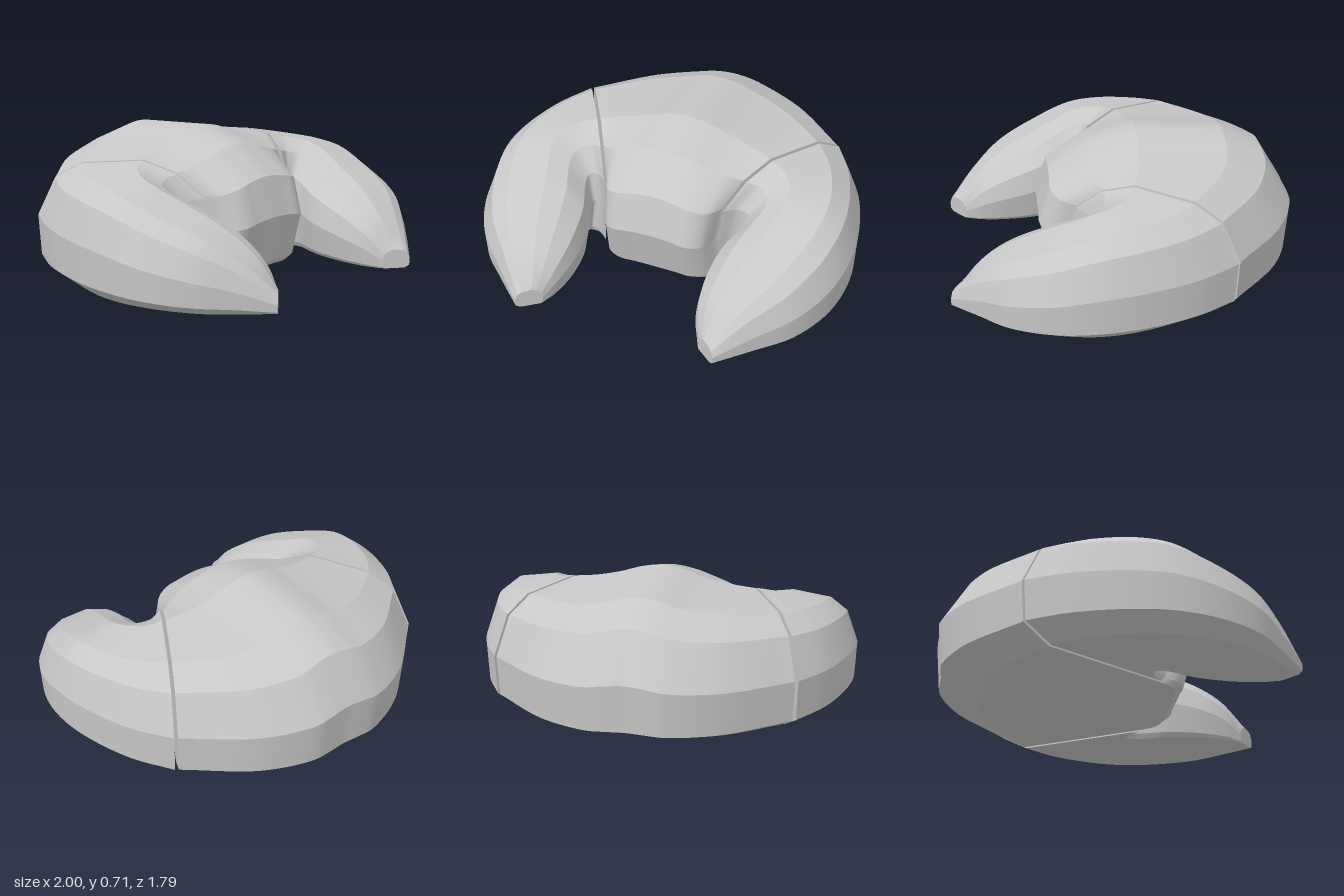
import * as THREE from 'three';

// Cross-section, outer foot over the top to inner foot: [across 0..1, height 0..1]
const PROFILE = [
  [0.18, 0], [0.015, 0.14], [0, 0.49], [0.105, 0.825], [0.26, 0.955], [0.61, 1],
  [0.80, 0.90], [0.955, 0.70], [1, 0.41], [0.95, 0.05], [0.92, 0],
];

// Stations: [outer x, outer z, inner x, inner z, height]
const BODY_HALF = [
  [0, -0.895, 0, 0.42, 0.71],
  [0.10, -0.90, 0.11, 0.42, 0.695],
  [0.20, -0.895, 0.20, 0.42, 0.665],
  [0.45, -0.79, 0.265, 0.375, 0.63],
  [0.765, -0.525, 0.30, 0.265, 0.602],
];
const ARM = [
  [0.78, -0.515, 0.315, 0.274, 0.60],
  [0.90, -0.30, 0.37, 0.205, 0.58],
  [0.98, -0.03, 0.42, 0.185, 0.56],
  [1.0, 0.18, 0.425, 0.22, 0.53],
  [0.965, 0.40, 0.365, 0.38, 0.45],
  [0.86, 0.605, 0.35, 0.56, 0.36],
  [0.70, 0.755, 0.375, 0.70, 0.25],
  [0.54, 0.89, 0.425, 0.80, 0.10],
];

const mirror = (stations) =>
  stations.map(([ox, oz, ix, iz, h]) => [-ox, oz, -ix, iz, h]).reverse();

// Sweep the profile through the stations: smooth lengthwise, creased between bands
function loft(stations, steps) {
  const outer = new THREE.CatmullRomCurve3(stations.map((s) => new THREE.Vector3(s[0], s[4], s[1])));
  const inner = new THREE.CatmullRomCurve3(stations.map((s) => new THREE.Vector3(s[2], s[4], s[3])));
  const sections = [];
  for (let i = 0; i <= steps; i++) {
    const o = outer.getPoint(i / steps);
    const n = inner.getPoint(i / steps);
    sections.push(PROFILE.map(([u, v]) => {
      const p = o.clone().lerp(n, u);
      p.y *= v;
      return p;
    }));
  }
  const positions = [];
  const index = [];
  const add = (p) => positions.push(p.x, p.y, p.z) / 3 - 1;

  // Lengthwise bands, the last one being the underside
  const count = PROFILE.length;
  for (let r = 0; r < count; r++) {
    const base = positions.length / 3;
    for (const section of sections) {
      add(section[r]);
      add(section[(r + 1) % count]);
    }
    for (let i = 0; i < steps; i++) {
      const a = base + i * 2;
      index.push(a, a + 1, a + 2, a + 1, a + 3, a + 2);
    }
  }

  // Flat end caps
  for (const end of [0, steps]) {
    const base = positions.length / 3;
    sections[end].forEach(add);
    for (let r = 1; r < count - 1; r++) {
      if (end) index.push(base, base + r, base + r + 1);
      else index.push(base, base + r + 1, base + r);
    }
  }

  const geometry = new THREE.BufferGeometry();
  geometry.setAttribute('position', new THREE.Float32BufferAttribute(positions, 3));
  geometry.setIndex(index);
  geometry.computeVertexNormals();
  return geometry;
}

export function createModel() {
  const model = new THREE.Group();
  model.name = 'horseshoeShell';
  const grey = new THREE.MeshStandardMaterial({ color: 0xc8c8c8 });
  grey.name = 'lightGrey';

  const part = (name, stations, steps) => {
    const mesh = new THREE.Mesh(loft(stations, steps), grey);
    mesh.name = name;
    model.add(mesh);
  };

  // Central block and two curling arms, parted by narrow seams
  part('centreBody', [...mirror(BODY_HALF).slice(0, -1), ...BODY_HALF], 64);
  part('leftArm', ARM, 56);
  part('rightArm', mirror(ARM), 56);
  return model;
}
